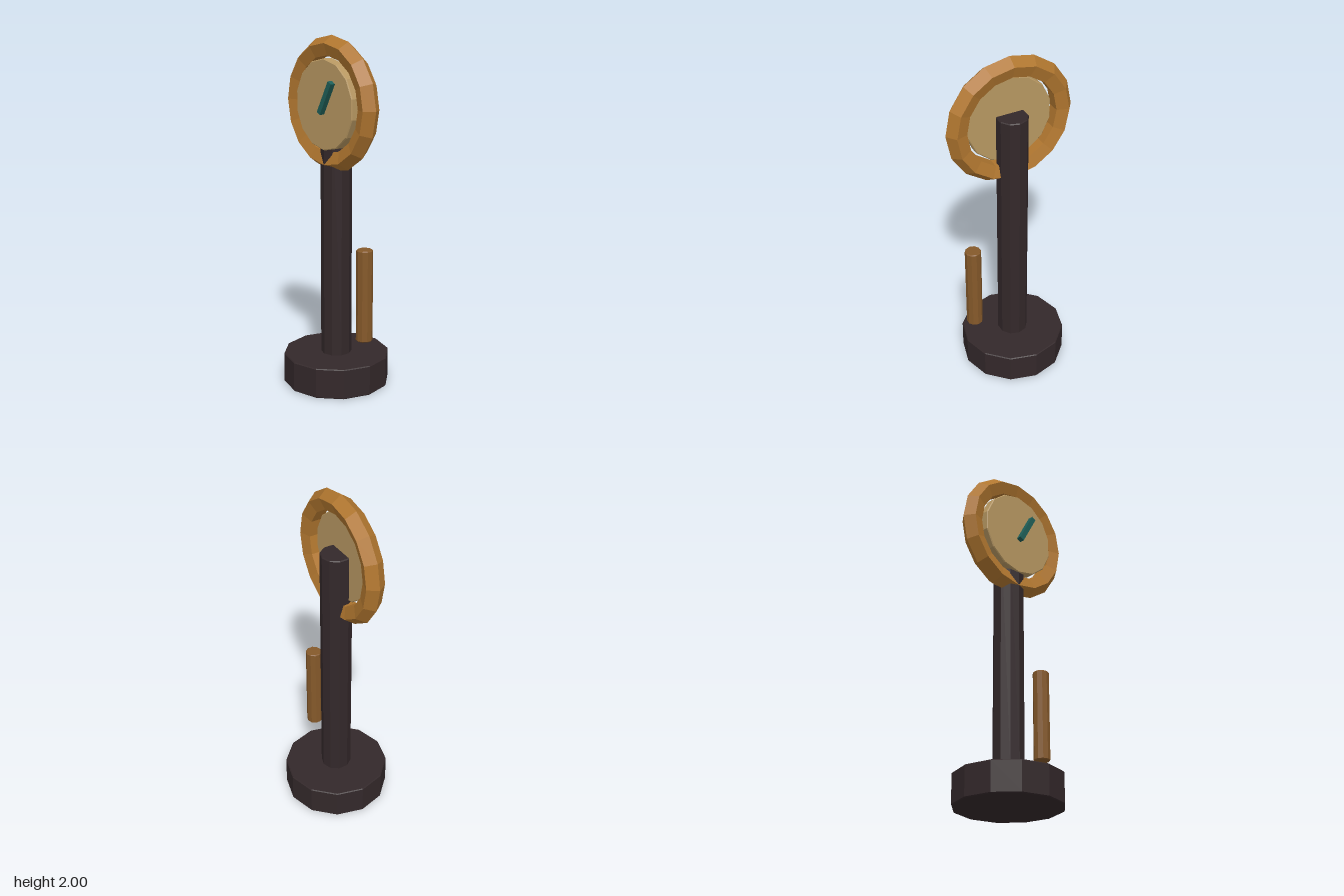
import * as THREE from 'three';

const material = (name, color) => {
  const m = new THREE.MeshStandardMaterial({ color, flatShading: true });
  m.name = name;
  return m;
};

// Upright faceted cylinder with a slight bevel, centred on its own origin
function bevelledCylinder(radius, height, sides, bevel = 0.005) {
  const h = height / 2;
  const profile = [
    [0, -h], [radius - bevel, -h], [radius, -h + bevel],
    [radius, h - bevel], [radius - bevel, h], [0, h],
  ].map(([x, y]) => new THREE.Vector2(x, y));
  return new THREE.LatheGeometry(profile, sides);
}

export function createModel() {
  const group = new THREE.Group();
  const darkMetal = material('dark metal', 0x33282a);
  const brass = material('brass', 0xb0762f);
  const dialTan = material('dial tan', 0xb89862);
  const wood = material('wood brown', 0x85592a);
  const teal = material('teal', 0x1f5f58);

  const add = (name, geometry, mat, x, y, z) => {
    const mesh = new THREE.Mesh(geometry, mat);
    mesh.name = name;
    mesh.position.set(x, y, z);
    group.add(mesh);
    return mesh;
  };
  const headY = 1.624;

  // Foot and post
  add('base', bevelledCylinder(0.306, 0.176, 12), darkMetal, 0, 0.088, 0);
  add('post', bevelledCylinder(0.088, 1.5, 10), darkMetal, 0, 0.91, 0);

  // Five-sided ring around the dial
  add('ring', new THREE.TorusGeometry(0.316, 0.06, 5, 16), brass, 0, headY, 0.031);

  // Dial plate facing forward
  add('dial', bevelledCylinder(0.253, 0.06, 14), dialTan, 0, headY, 0.06).rotation.x = Math.PI / 2;

  // Tilted pointer in front of the dial
  add('pointer', new THREE.BoxGeometry(0.03, 0.2, 0.03), teal, 0.044, 1.668, 0.107).rotation.z = -0.506;

  // Separate handle hanging beside the post
  add('handle', bevelledCylinder(0.047, 0.53, 10), wood, 0.253, 0.58, 0);

  return group;
}
